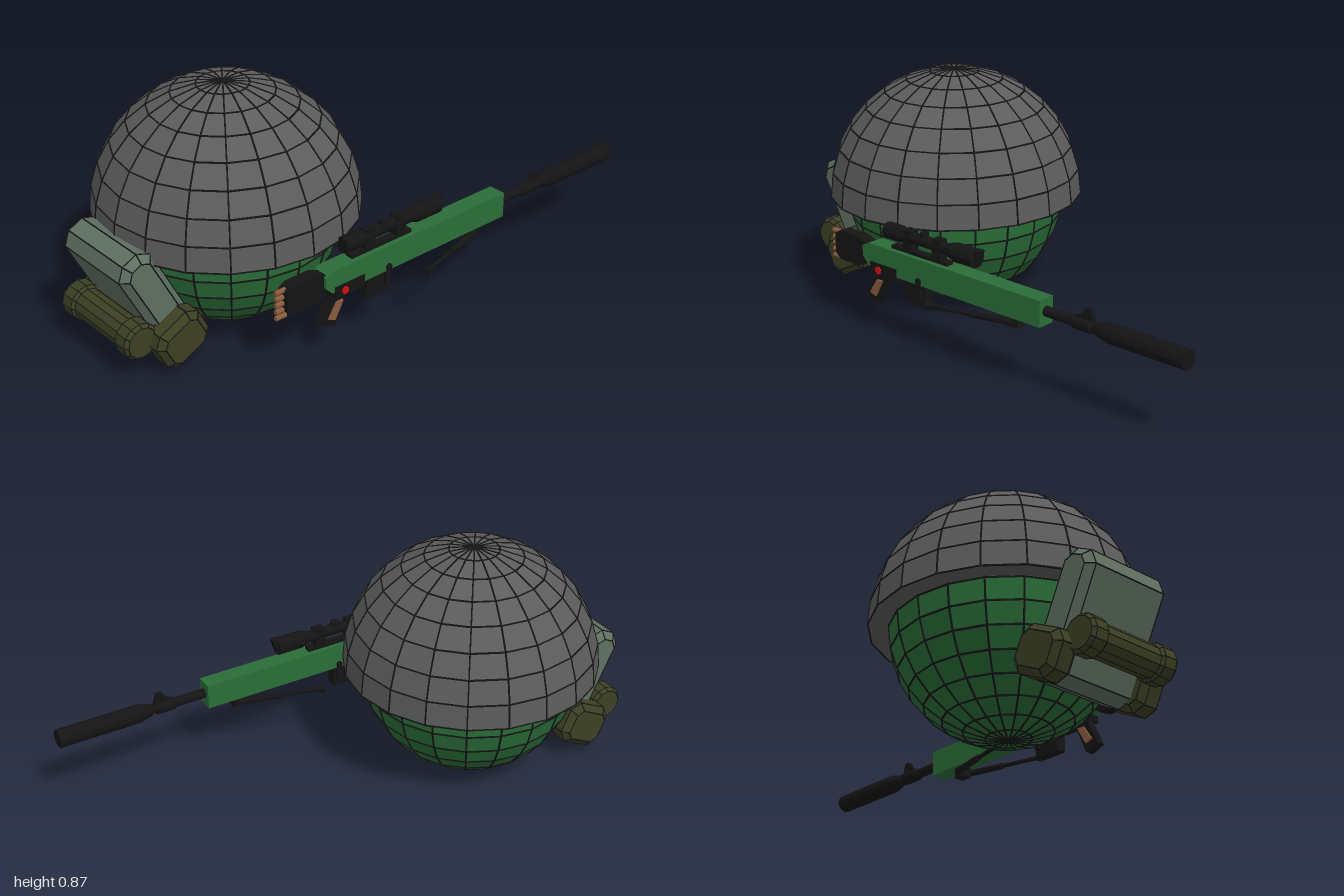
import * as THREE from 'three';
import { mergeGeometries } from 'three/addons/utils/BufferGeometryUtils.js';

const mat = (color) => new THREE.MeshStandardMaterial({ color, flatShading: true, side: THREE.DoubleSide });
const GREY = mat(0x5c5c5c), GREEN = mat(0x2a6e38), BLACK = mat(0x141414), SAGE = mat(0x5f7062),
  OLIVE = mat(0x3c4022), BROWN = mat(0x8a5a3c), RED = mat(0xd01010);
const UP = new THREE.Vector3(0, 1, 0);

function add(parent, name, geo, material, x = 0, y = 0, z = 0) {
  const m = new THREE.Mesh(geo, material);
  m.name = name;
  m.position.set(x, y, z);
  parent.add(m);
  return m;
}

// A cylinder running from a to b
function rod(a, b, r1, r2 = r1, sides = 10, open = false) {
  const d = b.clone().sub(a);
  const g = new THREE.CylinderGeometry(r2, r1, d.length(), sides, 1, open);
  g.applyQuaternion(new THREE.Quaternion().setFromUnitVectors(UP, d.normalize()));
  return g.translate((a.x + b.x) / 2, (a.y + b.y) / 2, (a.z + b.z) / 2);
}

// Thin black bars along every crease of a faceted geometry
function outline(mesh, r) {
  const p = new THREE.EdgesGeometry(mesh.geometry, 1).attributes.position;
  const bars = [];
  for (let i = 0; i < p.count; i += 2) {
    const a = new THREE.Vector3().fromBufferAttribute(p, i);
    const b = new THREE.Vector3().fromBufferAttribute(p, i + 1);
    if (a.distanceTo(b) > 0.002) bars.push(rod(a, b, r, r, 4, true));
  }
  add(mesh, mesh.name + 'Edges', mergeGeometries(bars), BLACK);
}

// Box with chamfered front and back rims and cut corners
function chamferBox(w, h, d, b) {
  const x = w / 2 - b, y = h / 2 - b;
  const s = new THREE.Shape([[-x + b, -y], [x - b, -y], [x, -y + b], [x, y - b],
    [x - b, y], [-x + b, y], [-x, y - b], [-x, -y + b]].map((c) => new THREE.Vector2(...c)));
  return new THREE.ExtrudeGeometry(s, { depth: d - 2 * b, bevelThickness: b, bevelSize: b, bevelSegments: 1 })
    .translate(0, 0, b - d / 2);
}

// Turned part along +x from [x, radius] pairs
function turned(profile, sides = 12) {
  return new THREE.LatheGeometry(profile.map(([x, r]) => new THREE.Vector2(r, x)), sides).rotateZ(-Math.PI / 2);
}

const polygon = (points, depth) => new THREE.ExtrudeGeometry(
  new THREE.Shape(points.map((c) => new THREE.Vector2(...c))), { depth, bevelEnabled: false }).translate(0, 0, -depth / 2);

function makeBody() {
  const g = new THREE.Group();
  g.name = 'roundBody';
  g.position.set(-0.43, 0, -0.06);
  const ball = add(g, 'ball', new THREE.SphereGeometry(0.395, 20, 16), GREEN, 0, 0.395, 0);
  outline(ball, 0.004);
  const dome = add(g, 'helmet', new THREE.SphereGeometry(0.465, 20, 8, 0, Math.PI * 2, 0, Math.PI / 2), GREY, 0, 0.4, 0);
  outline(dome, 0.0035);
  add(g, 'helmetRim', new THREE.RingGeometry(0.385, 0.465, 20).rotateX(Math.PI / 2), GREY, 0, 0.4, 0);
  return g;
}

function makePack() {
  const g = new THREE.Group();
  g.name = 'backpack';
  const tilt = 0.47;
  const slab = add(g, 'packBag', chamferBox(0.14, 0.43, 0.36, 0.025), SAGE, -0.843, 0.25, -0.06);
  slab.rotation.z = tilt;
  outline(slab, 0.0025);
  for (const s of [-1, 1]) {
    const pouch = add(g, 'sidePouch', chamferBox(0.19, 0.16, 0.1, 0.022), OLIVE, -0.8, 0.12, -0.06 + s * 0.2);
    pouch.rotation.z = tilt;
    outline(pouch, 0.0025);
  }
  // Bedroll lying across the back, thicker at both ends
  const roll = turned([[-0.193, 0], [-0.193, 0.055], [-0.18, 0.066], [-0.13, 0.066], [-0.12, 0.056],
    [0.12, 0.056], [0.13, 0.066], [0.18, 0.066], [0.193, 0.055], [0.193, 0]]).rotateY(Math.PI / 2);
  outline(add(g, 'bedroll', roll, OLIVE, -0.934, 0.145, -0.06), 0.002);
  return g;
}

function makeRifle() {
  const g = new THREE.Group();
  g.name = 'rifle';
  g.position.z = 0.405;
  const box = (name, m, x0, x1, y0, y1, d) =>
    add(g, name, new THREE.BoxGeometry(x1 - x0, y1 - y0, d), m, (x0 + x1) / 2, (y0 + y1) / 2, 0);
  const V = (x, y, z) => new THREE.Vector3(x, y, z);

  // Receiver and stock
  add(g, 'receiver', polygon([[-0.41, 0.28], [-0.38, 0.25], [-0.26, 0.24], [0.425, 0.24], [0.425, 0.335],
    [-0.38, 0.335], [-0.41, 0.32]], 0.066), GREEN);
  add(g, 'stock', polygon([[-0.565, 0.25], [-0.54, 0.23], [-0.44, 0.23], [-0.4, 0.25], [-0.4, 0.325],
    [-0.44, 0.34], [-0.54, 0.34], [-0.565, 0.325]], 0.045), BLACK);
  for (let i = 0; i < 5; i++) {
    const y = 0.228 + i * 0.024;
    add(g, 'cartridge', rod(V(-0.597, y, 0), V(-0.555, y, 0), 0.009, 0.009, 8), BROWN);
  }

  // Barrel, muzzle brake and suppressor
  add(g, 'barrel', turned([[0.42, 0], [0.42, 0.018], [0.54, 0.018], [0.55, 0.024], [0.62, 0.024], [0.63, 0.016],
    [0.64, 0.022], [0.69, 0.034], [1, 0.034], [1, 0]]), BLACK, 0, 0.29, 0);
  add(g, 'frontSight', polygon([[0.54, 0.305], [0.63, 0.305], [0.615, 0.35], [0.595, 0.35], [0.58, 0.325]], 0.016), BLACK);

  // Scope on its rail
  add(g, 'scope', turned([[-0.31, 0], [-0.31, 0.03], [-0.24, 0.03], [-0.21, 0.021], [-0.02, 0.021],
    [0.02, 0.033], [0.12, 0.033], [0.12, 0]]), BLACK, 0, 0.393, 0);
  add(g, 'sunshade', polygon([[0.11, 0.363], [0.12, 0.363], [0.14, 0.425], [0.11, 0.425]], 0.03), BLACK);
  box('scopeRail', BLACK, -0.28, -0.01, 0.333, 0.348, 0.03);
  for (const x of [-0.2, -0.06]) box('scopeMount', BLACK, x - 0.02, x + 0.02, 0.34, 0.42, 0.036);
  add(g, 'scopeTurret', rod(V(-0.13, 0.393, 0), V(-0.13, 0.426, 0), 0.016), BLACK);

  // Grip, trigger guard and magazine
  const grip = [[-0.36, 0.235], [-0.3, 0.235], [-0.355, 0.105], [-0.41, 0.125]];
  add(g, 'grip', polygon(grip, 0.034), BLACK);
  add(g, 'gripPanels', polygon([[-0.352, 0.2], [-0.325, 0.2], [-0.36, 0.135], [-0.388, 0.145]], 0.05), BROWN);
  box('triggerGuard', BLACK, -0.35, -0.24, 0.212, 0.225, 0.03);
  box('triggerHousing', BLACK, -0.37, -0.24, 0.225, 0.27, 0.072);
  add(g, 'safetyButton', rod(V(-0.328, 0.245, -0.04), V(-0.328, 0.245, 0.04), 0.014), RED);
  box('magazine', BLACK, -0.22, -0.115, 0.155, 0.24, 0.042);
  add(g, 'boltHandle', rod(V(-0.13, 0.255, -0.04), V(-0.13, 0.255, 0.04), 0.012), BLACK);
  box('magazineLatch', BLACK, -0.14, -0.122, 0.18, 0.26, 0.07);

  // Folded bipod
  box('bipodMount', BLACK, 0.27, 0.315, 0.2, 0.245, 0.04);
  for (const s of [-1, 1]) {
    const hip = V(0.3, 0.222, s * 0.022), knee = V(0.14, 0.22, s * 0.062), foot = V(0, 0.218, s * 0.096);
    add(g, 'bipodLeg', rod(hip, knee, 0.012), BLACK);
    add(g, 'bipodLeg', rod(knee, foot, 0.008), BLACK);
    add(g, 'bipodFoot', rod(foot, V(-0.022, 0.217, s * 0.102), 0.009, 0.017), BLACK);
  }
  return g;
}

export function createModel() {
  const model = new THREE.Group();
  model.name = 'roundSoldier';
  model.add(makeBody(), makePack(), makeRifle());
  return model;
}
